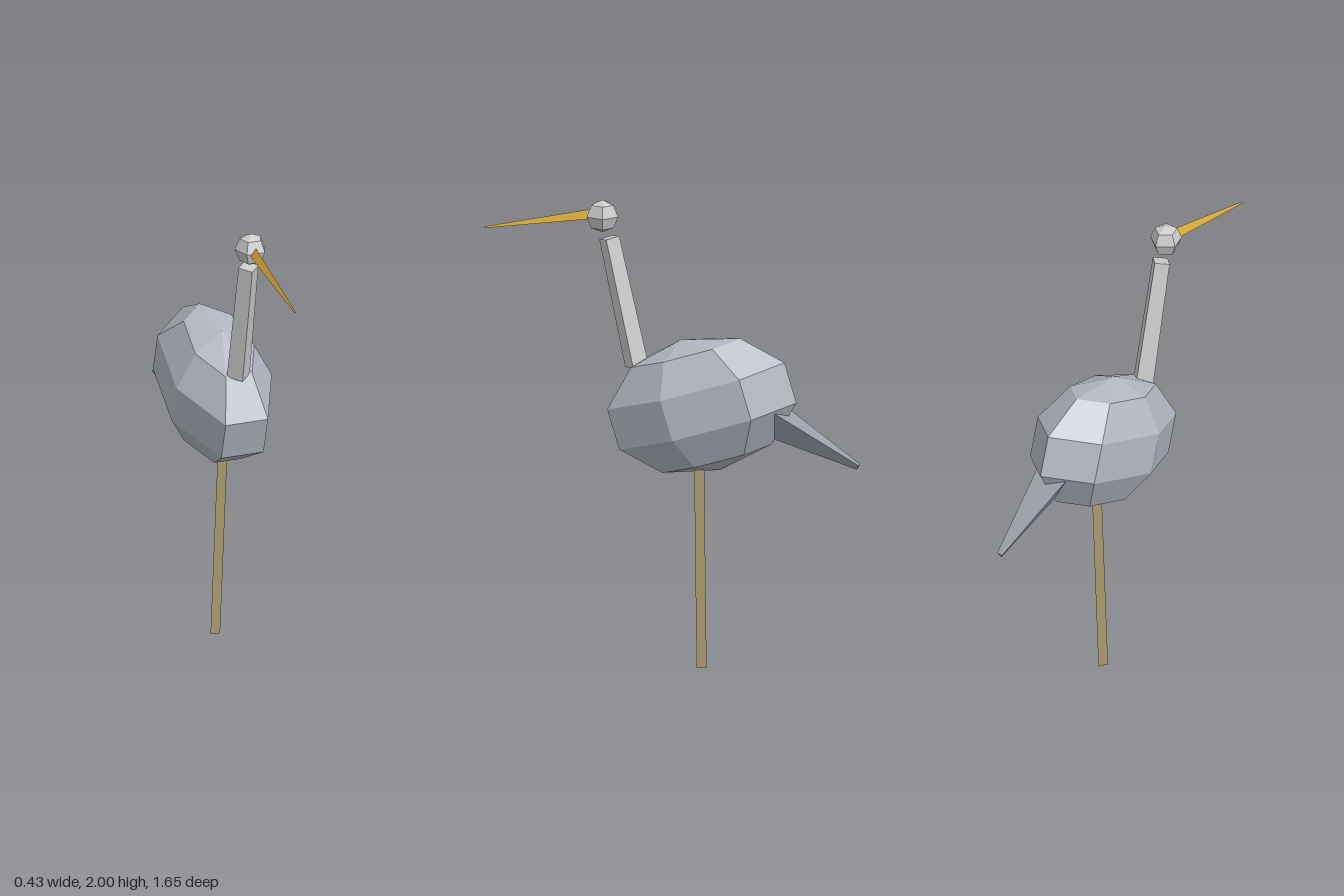
import * as THREE from 'three';

const material = (color) => new THREE.MeshStandardMaterial({ color, flatShading: true });
const pale = material(0xcccccc);
const plumage = material(0xb2b7c2);
const tailGrey = material(0x9a9fa9);
const beakYellow = material(0xd9a93a);
const legTan = material(0xa8986a);

// Tapered prism running from one point to another
function limb(name, from, to, r0, r1, sides, mat) {
  const a = new THREE.Vector3(...from);
  const b = new THREE.Vector3(...to);
  const dir = b.clone().sub(a);
  const geo = new THREE.CylinderGeometry(r1, r0, dir.length(), sides);
  geo.rotateY(Math.PI);
  const mesh = new THREE.Mesh(geo, mat);
  mesh.name = name;
  mesh.position.copy(a).add(b).multiplyScalar(0.5);
  mesh.quaternion.setFromUnitVectors(new THREE.Vector3(0, 1, 0), dir.normalize());
  return mesh;
}

// Faceted ball with one corner column facing the back
function ball(name, radius, columns, rows, position, mat) {
  const geo = new THREE.SphereGeometry(radius, columns, rows);
  geo.rotateY(-Math.PI / 2);
  const mesh = new THREE.Mesh(geo, mat);
  mesh.name = name;
  mesh.position.set(...position);
  return mesh;
}

export function createModel() {
  const bird = new THREE.Group();
  bird.name = 'wadingBird';

  // Long body, pitched down towards the chest
  const body = ball('body', 0.29, 7, 5, [0, 1.14, -0.125], plumage);
  body.scale.set(0.8, 1, 1.5);
  body.rotation.x = 0.3;

  bird.add(
    body,
    ball('head', 0.07, 5, 4, [0, 1.93, 0.308], pale),
    // Neck leans forward and stops just short of the head
    limb('neck', [0, 1.292, 0.156], [0, 1.838, 0.277], 0.052, 0.045, 4, pale),
    // Triangular beak, ridge on top
    limb('beak', [0, 1.93, 0.36], [0, 1.844, 0.828], 0.025, 0.004, 3, beakYellow),
    // Triangular tail, flat side on top
    limb('tail', [0, 1.129, -0.4], [0, 0.92, -0.819], 0.1, 0.016, 3, tailGrey),
    // The single standing leg
    limb('leg', [0, 0.001, -0.126], [0.037, 0.93, -0.126], 0.025, 0.025, 3, legTan),
  );
  return bird;
}
